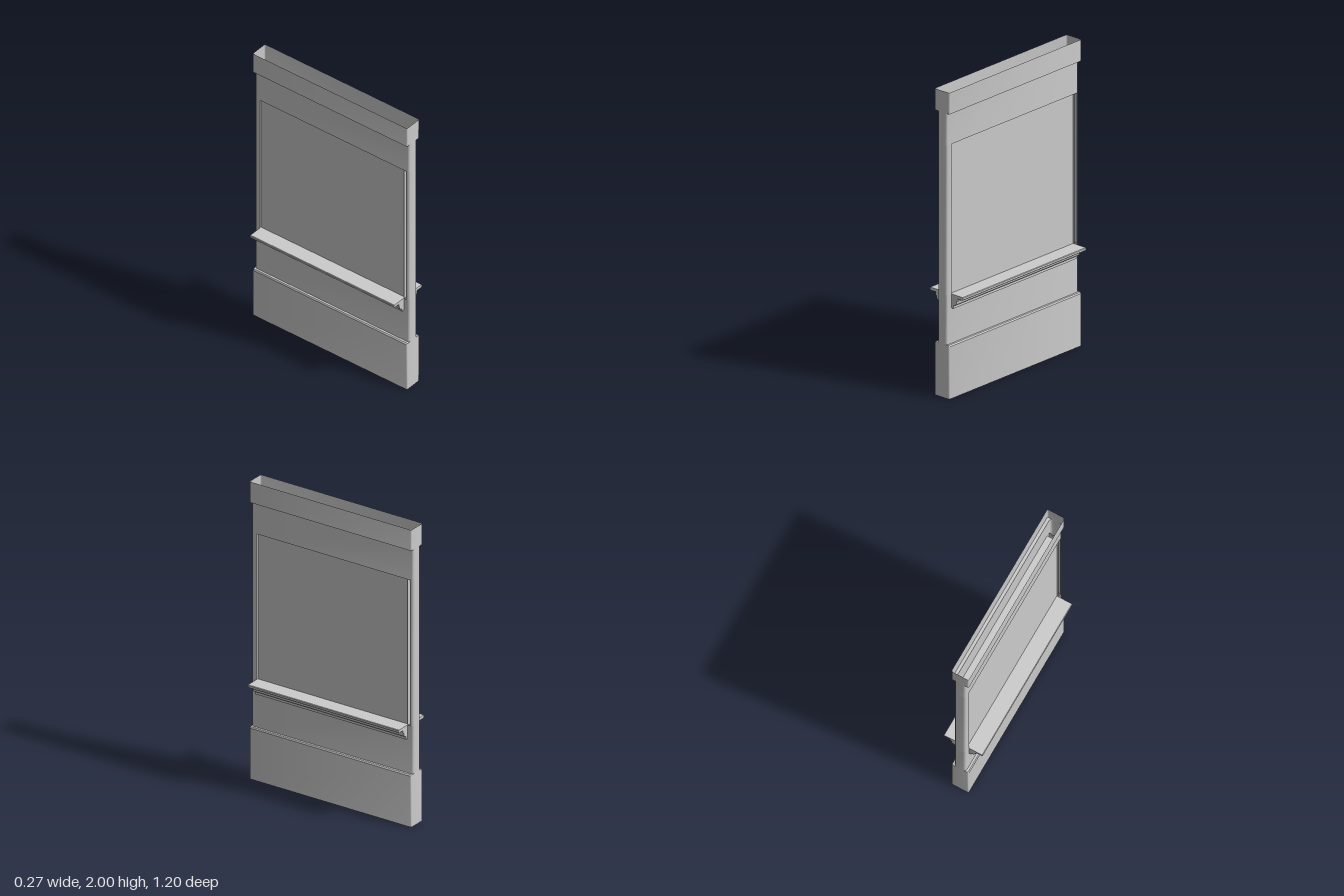
import * as THREE from 'three';
import { toCreasedNormals } from 'three/addons/utils/BufferGeometryUtils.js';

const material = new THREE.MeshStandardMaterial({ color: 0xcccccc, side: THREE.DoubleSide });
const HALF_LENGTH = 0.6, WALL = 0.04, TRIM = 0.06;
const OPEN_Z = 0.56, OPEN_BOTTOM = 0.67, OPEN_TOP = 1.65;
const BASE_TOP = 0.35, CROWN_BOTTOM = 1.86;

// Rounded rectangle outline in the xz plane, closed by repeating its first point
function outline(hx, hz, r, steps = 4) {
  const points = [];
  [[1, 1], [-1, 1], [-1, -1], [1, -1]].forEach(([sx, sz], corner) => {
    for (let i = 0; i <= steps; i++) {
      const a = (corner + i / steps) * Math.PI / 2;
      points.push([sx * (hx - r) + r * Math.cos(a), sz * (hz - r) + r * Math.sin(a)]);
    }
  });
  points.push(points[0]);
  return points;
}

// Uncapped skin through outlines placed at given heights
function loft(sections) {
  const pos = [];
  for (let s = 0; s < sections.length - 1; s++) {
    const [y0, lower] = sections[s], [y1, upper] = sections[s + 1];
    for (let i = 0; i < lower.length - 1; i++) {
      const a = [lower[i][0], y0, lower[i][1]], b = [lower[i + 1][0], y0, lower[i + 1][1]];
      const c = [upper[i][0], y1, upper[i][1]], d = [upper[i + 1][0], y1, upper[i + 1][1]];
      pos.push(...a, ...c, ...b, ...b, ...c, ...d);
    }
  }
  const g = new THREE.BufferGeometry();
  g.setAttribute('position', new THREE.Float32BufferAttribute(pos, 3));
  g.computeVertexNormals();
  return toCreasedNormals(g, 0.6);
}

export function createModel() {
  const model = new THREE.Group();
  model.name = 'windowWall';
  const add = (name, geometry) => {
    const mesh = new THREE.Mesh(geometry, material);
    mesh.name = name;
    model.add(mesh);
    return mesh;
  };

  const wall = outline(WALL, HALF_LENGTH, 0.018);
  const trim = outline(TRIM, HALF_LENGTH, 0.008);
  const trimBevel = outline(TRIM - 0.006, HALF_LENGTH, 0.008);

  // Hollow base and crown, open at the floor and at the top
  add('base', loft([[0, trim], [BASE_TOP - 0.008, trim], [BASE_TOP, trimBevel], [BASE_TOP, wall]]));
  add('crown', loft([[CROWN_BOTTOM, wall], [CROWN_BOTTOM, trim], [2, trim]]));

  // Wall skin below and above the opening
  add('lowerWall', loft([[BASE_TOP, wall], [OPEN_BOTTOM, wall]]));
  add('upperWall', loft([[OPEN_TOP, wall], [CROWN_BOTTOM, wall]]));

  // Rounded jambs at both ends of the opening
  const jamb = [[WALL, OPEN_Z], ...wall.filter(([, z]) => z > OPEN_Z), [-WALL, OPEN_Z]];
  for (const [name, turn] of [['frontJamb', 0], ['backJamb', Math.PI]]) {
    add(name, loft([[OPEN_BOTTOM, jamb], [OPEN_TOP, jamb]])).rotation.y = turn;
  }

  // Lining of the opening and the pane set into it
  const height = OPEN_TOP - OPEN_BOTTOM, middle = (OPEN_TOP + OPEN_BOTTOM) / 2;
  const rim = [[1, 1], [-1, 1], [-1, -1], [1, -1], [1, 1]].map(([a, b]) => [a * height / 2, b * OPEN_Z]);
  const lining = add('openingLining', loft([[-WALL, rim], [WALL, rim]]));
  lining.rotation.z = Math.PI / 2;
  lining.position.y = middle;
  add('pane', new THREE.BoxGeometry(0.054, height, OPEN_Z * 2)).position.y = middle;

  // Moulded sill on each face
  const profile = new THREE.Shape();
  profile.moveTo(0.03, 0.58);
  profile.lineTo(0.058, 0.58);
  profile.lineTo(0.058, 0.6);
  profile.quadraticCurveTo(0.082, 0.602, 0.082, 0.63);
  profile.lineTo(0.088, 0.634);
  profile.lineTo(0.09, 0.652);
  profile.lineTo(0.132, 0.652);
  profile.lineTo(0.135, 0.656);
  profile.lineTo(0.135, 0.668);
  profile.lineTo(0.132, 0.672);
  profile.lineTo(0.03, 0.672);
  const sill = toCreasedNormals(
    new THREE.ExtrudeGeometry(profile, { depth: OPEN_Z * 2, bevelEnabled: false, curveSegments: 6 })
      .translate(0, 0, -OPEN_Z), 0.6);
  add('leftSill', sill);
  add('rightSill', sill).rotation.y = Math.PI;

  return model;
}
